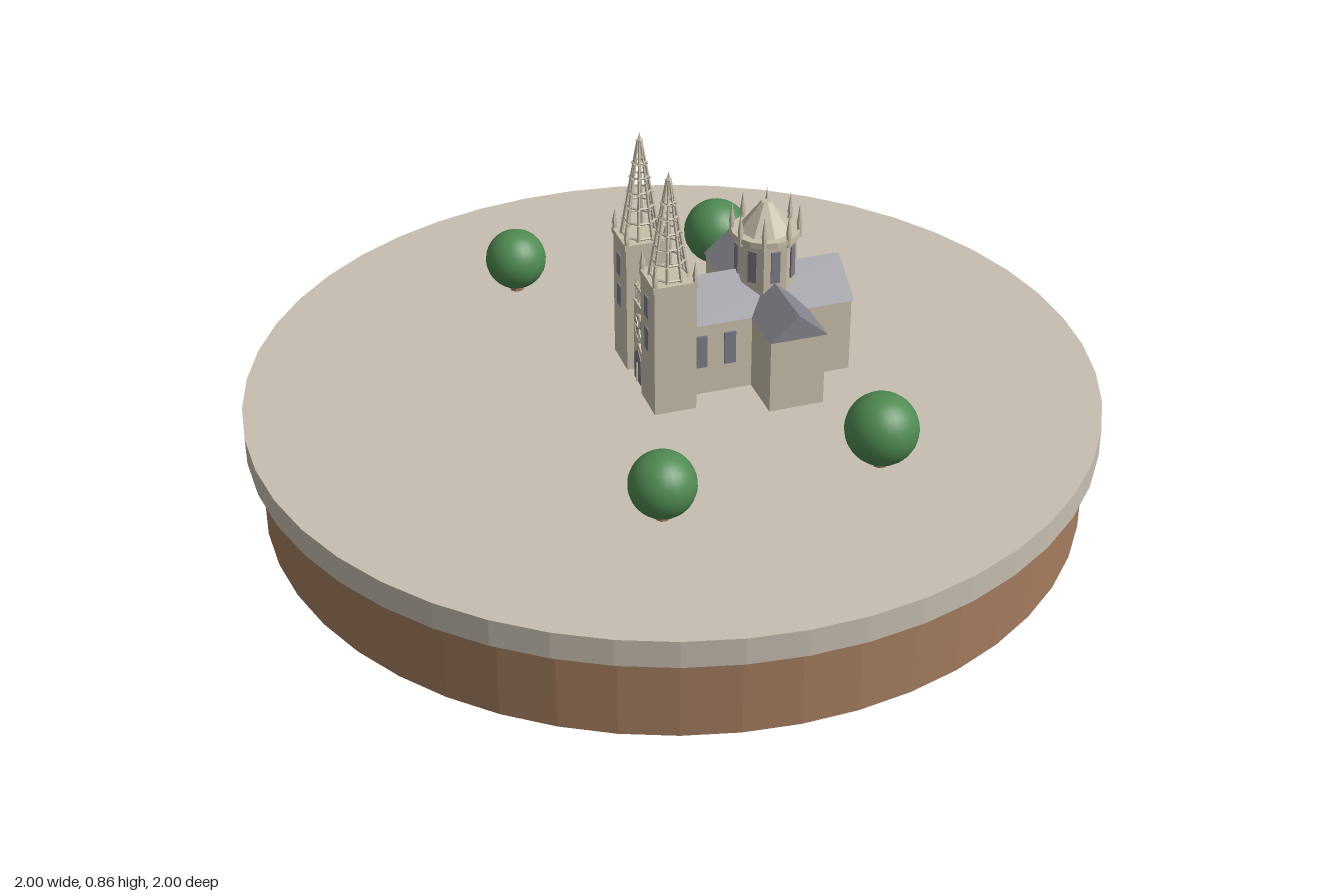
import * as THREE from 'three';

const mat = (name, color, flat = true) => {
  const m = new THREE.MeshStandardMaterial({ color, flatShading: flat });
  m.name = name;
  return m;
};

export function createModel() {
  const earth = mat('earth brown', 0xa47c5e);
  const paving = mat('paving', 0xc6beb0);
  const stone = mat('stone', 0xc8bfab);
  const slate = mat('slate', 0x84848c);
  const glass = mat('window grey', 0x7c7c88);
  const leaf = mat('leaf green', 0x4f8a52, false);
  const GROUND = 0.265;

  const root = new THREE.Group();
  root.name = 'cathedralDiorama';

  const add = (parent, name, geo, material, x = 0, y = 0, z = 0) => {
    const m = new THREE.Mesh(geo, material);
    m.name = name;
    m.position.set(x, y, z);
    parent.add(m);
    return m;
  };
  const group = (parent, name, x = 0, y = 0, z = 0) => {
    const g = new THREE.Group();
    g.name = name;
    g.position.set(x, y, z);
    parent.add(g);
    return g;
  };
  // box standing on y0 and reaching y1
  const block = (parent, name, material, w, y0, y1, d, x = 0, z = 0) =>
    add(parent, name, new THREE.BoxGeometry(w, y1 - y0, d), material, x, (y0 + y1) / 2, z);
  // tapered rod between two points
  const strut = (parent, name, a, b, r0, r1) => {
    const dir = b.clone().sub(a);
    const m = add(parent, name, new THREE.CylinderGeometry(r1, r0, dir.length(), 5), stone);
    m.position.copy(a).addScaledVector(dir, 0.5);
    m.quaternion.setFromUnitVectors(new THREE.Vector3(0, 1, 0), dir.normalize());
    return m;
  };
  const polar = (r, a, y) => new THREE.Vector3(Math.cos(a) * r, y, Math.sin(a) * r);
  // gabled prism running along z
  const gable = (parent, name, w, y0, y1, length) => {
    const s = new THREE.Shape();
    s.moveTo(-w / 2, 0);
    s.lineTo(w / 2, 0);
    s.lineTo(0, y1 - y0);
    const g = new THREE.ExtrudeGeometry(s, { depth: length, bevelEnabled: false });
    g.translate(0, 0, -length / 2);
    return add(parent, name, g, slate, 0, y0, 0);
  };
  // pointed arch plate, base at y = 0
  const arch = (w, h, depth) => {
    const s = new THREE.Shape();
    s.moveTo(-w / 2, 0);
    s.lineTo(w / 2, 0);
    s.lineTo(w / 2, h * 0.62);
    s.quadraticCurveTo(w / 2, h * 0.88, 0, h);
    s.quadraticCurveTo(-w / 2, h * 0.88, -w / 2, h * 0.62);
    return new THREE.ExtrudeGeometry(s, { depth, bevelEnabled: false, curveSegments: 5 });
  };
  const pinnacle = (parent, x, y, z, r, h) => {
    const g = group(parent, 'pinnacle', x, y, z);
    add(g, 'pinnacleShaft', new THREE.CylinderGeometry(r, r, h * 0.4, 6), stone, 0, h * 0.2, 0);
    add(g, 'pinnacleTip', new THREE.ConeGeometry(r * 1.25, h * 0.6, 6), stone, 0, h * 0.7, 0);
  };

  // round base
  add(root, 'earthBase', new THREE.CylinderGeometry(0.97, 0.97, 0.2, 48), earth, 0, 0.1, 0);
  add(root, 'pavedDisc', new THREE.CylinderGeometry(1, 1, 0.065, 48), paving, 0, 0.2325, 0);

  // trees
  for (const [x, z, r] of [[-0.364, -0.433, 0.083], [0.577, -0.128, 0.083], [-0.572, 0.045, 0.075], [0.438, 0.374, 0.075]]) {
    const tree = group(root, 'tree', x, GROUND, z);
    add(tree, 'trunk', new THREE.CylinderGeometry(0.014, 0.018, 0.06, 8), earth, 0, 0.03, 0);
    add(tree, 'crown', new THREE.SphereGeometry(r, 24, 16), leaf, 0, r + 0.01, 0);
  }

  // cathedral, origin at the crossing
  const church = group(root, 'cathedral', 0.075, 0, -0.215);
  church.rotation.y = -0.35;

  // nave and transept
  block(church, 'nave', stone, 0.2, GROUND, 0.449, 0.42, 0, 0.03);
  gable(church, 'naveRoof', 0.21, 0.449, 0.524, 0.43).position.z = 0.03;
  block(church, 'transept', stone, 0.446, GROUND, 0.448, 0.132);
  gable(church, 'transeptRoof', 0.14, 0.448, 0.508, 0.456).rotation.y = Math.PI / 2;
  for (const side of [-1, 1])
    for (const z of [0.12, 0.19])
      block(church, 'naveWindow', glass, 0.006, 0.337, 0.42, 0.028, side * 0.101, z);

  // crossing lantern
  const lantern = group(church, 'lantern');
  add(lantern, 'lanternDrum', new THREE.CylinderGeometry(0.074, 0.074, 0.16, 8), stone, 0, 0.53, 0).rotation.y = Math.PI / 8;
  add(lantern, 'lanternCornice', new THREE.CylinderGeometry(0.081, 0.081, 0.014, 16), stone, 0, 0.612, 0);
  add(lantern, 'lanternRoof', new THREE.CylinderGeometry(0.012, 0.064, 0.07, 8), stone, 0, 0.653, 0);
  for (let i = 0; i < 8; i++) {
    const a = (i * Math.PI) / 4;
    const p = polar(0.069, a, 0.55);
    const pane = add(lantern, 'lanternWindow', new THREE.BoxGeometry(0.022, 0.08, 0.006), glass, p.x, p.y, p.z);
    pane.rotation.y = Math.PI / 2 - a;
    const c = polar(0.078, a + Math.PI / 8, 0.6);
    pinnacle(lantern, c.x, c.y, c.z, 0.006, 0.085);
  }

  // west front between the towers
  const front = group(church, 'facade');
  block(front, 'facadeWall', stone, 0.12, GROUND, 0.45, 0.065, 0, 0.27);
  add(front, 'portalFrame', arch(0.066, 0.1, 0.008), stone, 0, GROUND, 0.302);
  add(front, 'portalDoor', arch(0.048, 0.084, 0.006), glass, 0, GROUND, 0.306);
  block(front, 'portalPost', stone, 0.004, GROUND, 0.315, 0.004, 0, 0.313);
  add(front, 'roseGlass', new THREE.CylinderGeometry(0.031, 0.031, 0.006, 24), glass, 0, 0.406, 0.304).rotation.x = Math.PI / 2;
  add(front, 'roseRing', new THREE.TorusGeometry(0.032, 0.004, 6, 24), stone, 0, 0.406, 0.306);
  for (let i = 0; i < 4; i++) {
    const spoke = block(front, 'roseSpoke', stone, 0.06, 0.405, 0.407, 0.003, 0, 0.308);
    spoke.rotation.z = (i * Math.PI) / 4;
  }
  // gallery of small columns
  block(front, 'galleryRail', stone, 0.115, 0.492, 0.5, 0.01, 0, 0.297);
  block(front, 'gallerySill', stone, 0.115, 0.45, 0.457, 0.012, 0, 0.297);
  for (let i = 0; i < 7; i++) {
    const x = -0.051 + i * 0.017;
    add(front, 'galleryColumn', new THREE.CylinderGeometry(0.003, 0.003, 0.04, 6), stone, x, 0.474, 0.297);
    add(front, 'galleryKnob', new THREE.ConeGeometry(0.004, 0.012, 5), stone, x, 0.505, 0.297);
  }

  // twin towers with openwork spires
  for (const side of [-1, 1]) {
    const tower = group(church, side > 0 ? 'leftTower' : 'rightTower', side * 0.105, 0, 0.27);
    block(tower, 'towerShaft', stone, 0.1, GROUND, 0.585, 0.1);
    block(tower, 'towerCornice', stone, 0.106, 0.583, 0.597, 0.106);
    block(tower, 'upperWindow', glass, 0.027, 0.498, 0.552, 0.006, 0, 0.051);
    block(tower, 'lowerWindow', glass, 0.027, 0.415, 0.47, 0.006, 0, 0.051);
    for (const x of [-0.047, 0.047])
      for (const z of [-0.047, 0.047]) pinnacle(tower, x, 0.585, z, 0.006, 0.062);

    const spire = group(tower, 'spire');
    const radiusAt = y => 0.044 - ((y - 0.597) / 0.233) * 0.039;
    for (let i = 0; i < 8; i++) {
      const a = (i * Math.PI) / 4 + Math.PI / 8;
      strut(spire, 'spireRib', polar(radiusAt(0.595), a, 0.595), polar(0.005, a, 0.832), 0.0045, 0.0025);
      for (let k = 0; k < 5; k++) {
        const y = 0.635 + k * 0.036;
        const p = polar(radiusAt(y) + 0.003, a, y);
        add(spire, 'crocket', new THREE.OctahedronGeometry(0.0045), stone, p.x, p.y, p.z);
      }
    }
    for (let k = 0; k < 6; k++) {
      const y = 0.602 + k * 0.036;
      const ring = add(spire, 'spireRing', new THREE.TorusGeometry(radiusAt(y), 0.003, 5, 8), stone, 0, y, 0);
      ring.rotation.set(Math.PI / 2, 0, Math.PI / 8);
    }
    add(spire, 'finialKnob', new THREE.OctahedronGeometry(0.01), stone, 0, 0.835, 0);
    add(spire, 'finialTip', new THREE.ConeGeometry(0.005, 0.02, 6), stone, 0, 0.845, 0);
  }
  return root;
}
